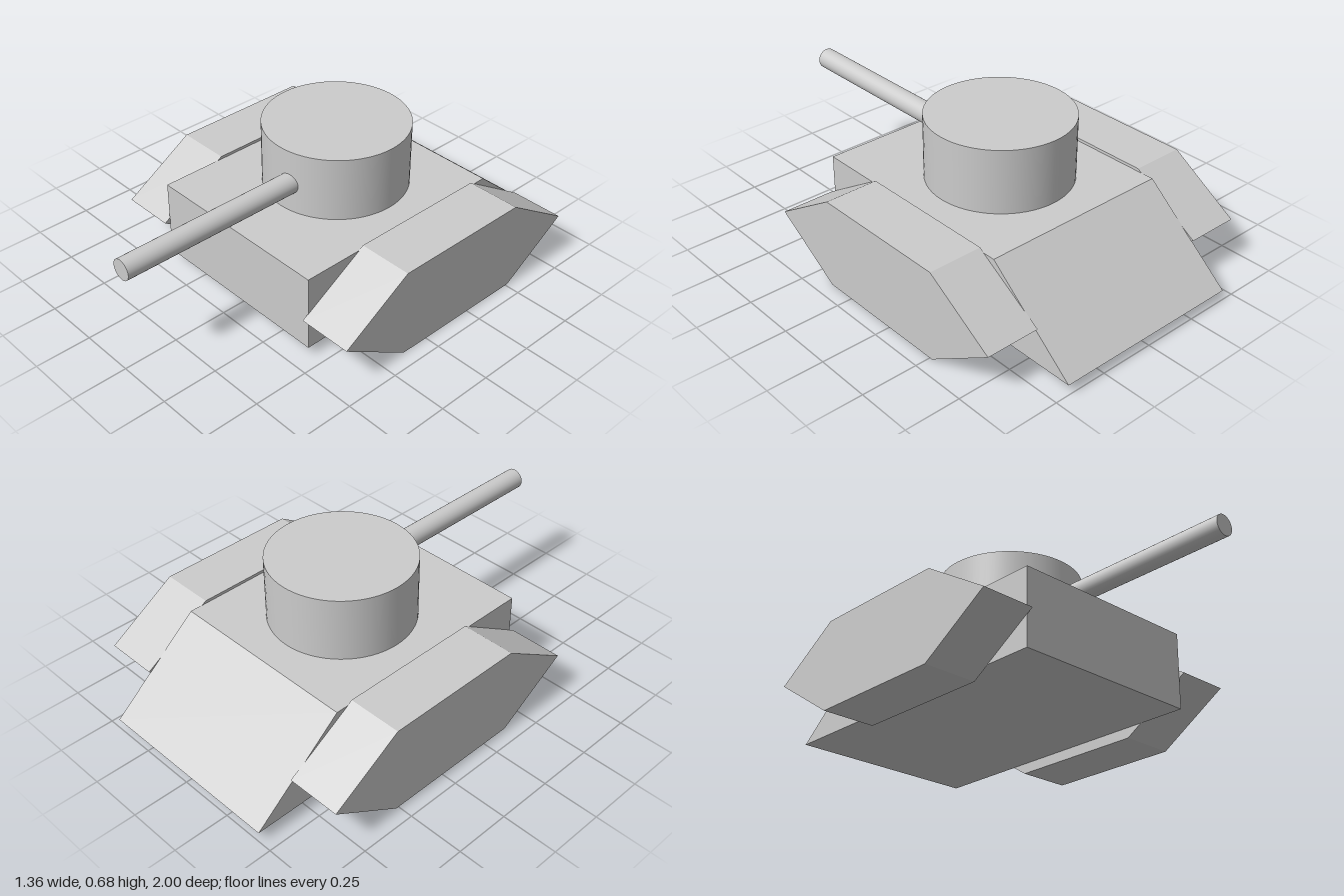
import * as THREE from 'three';

const material = new THREE.MeshStandardMaterial({ color: 0xcccccc });

function addPart(parent, name, geometry, x, y, z) {
  const mesh = new THREE.Mesh(geometry, material);
  mesh.name = name;
  mesh.position.set(x, y, z);
  parent.add(mesh);
  return mesh;
}

// Side profile of [z, y] points, extruded across x and centred on x = 0
function sideExtrude(points, width) {
  const shape = new THREE.Shape(points.map(([z, y]) => new THREE.Vector2(z, y)));
  const geometry = new THREE.ExtrudeGeometry(shape, { depth: width, bevelEnabled: false });
  return geometry.translate(0, 0, -width / 2).rotateY(-Math.PI / 2);
}

export function createModel() {
  const tank = new THREE.Group();
  tank.name = 'tank';

  // Hull with a sloping rear
  const hullProfile = [[0.425, 0.047], [0.425, 0.39], [-0.59, 0.39], [-1, 0.047]];
  addPart(tank, 'hull', sideExtrude(hullProfile, 0.878), 0, 0, 0);

  // Hexagonal track blocks on both sides
  const trackProfile = [
    [0.13, 0], [0.453, 0.203], [0.13, 0.403],
    [-0.512, 0.403], [-0.83, 0.203], [-0.512, 0],
  ];
  for (const [name, side] of [['leftTrack', 1], ['rightTrack', -1]]) {
    addPart(tank, name, sideExtrude(trackProfile, 0.244), side * 0.559, 0, 0);
  }

  // Round turret
  addPart(tank, 'turret', new THREE.CylinderGeometry(0.315, 0.315, 0.29, 64), 0, 0.531, -0.142);

  // Gun barrel, set slightly to the left
  const barrel = new THREE.CylinderGeometry(0.046, 0.046, 0.86, 32).rotateX(Math.PI / 2);
  addPart(tank, 'barrel', barrel, 0.046, 0.521, 0.57);

  return tank;
}
